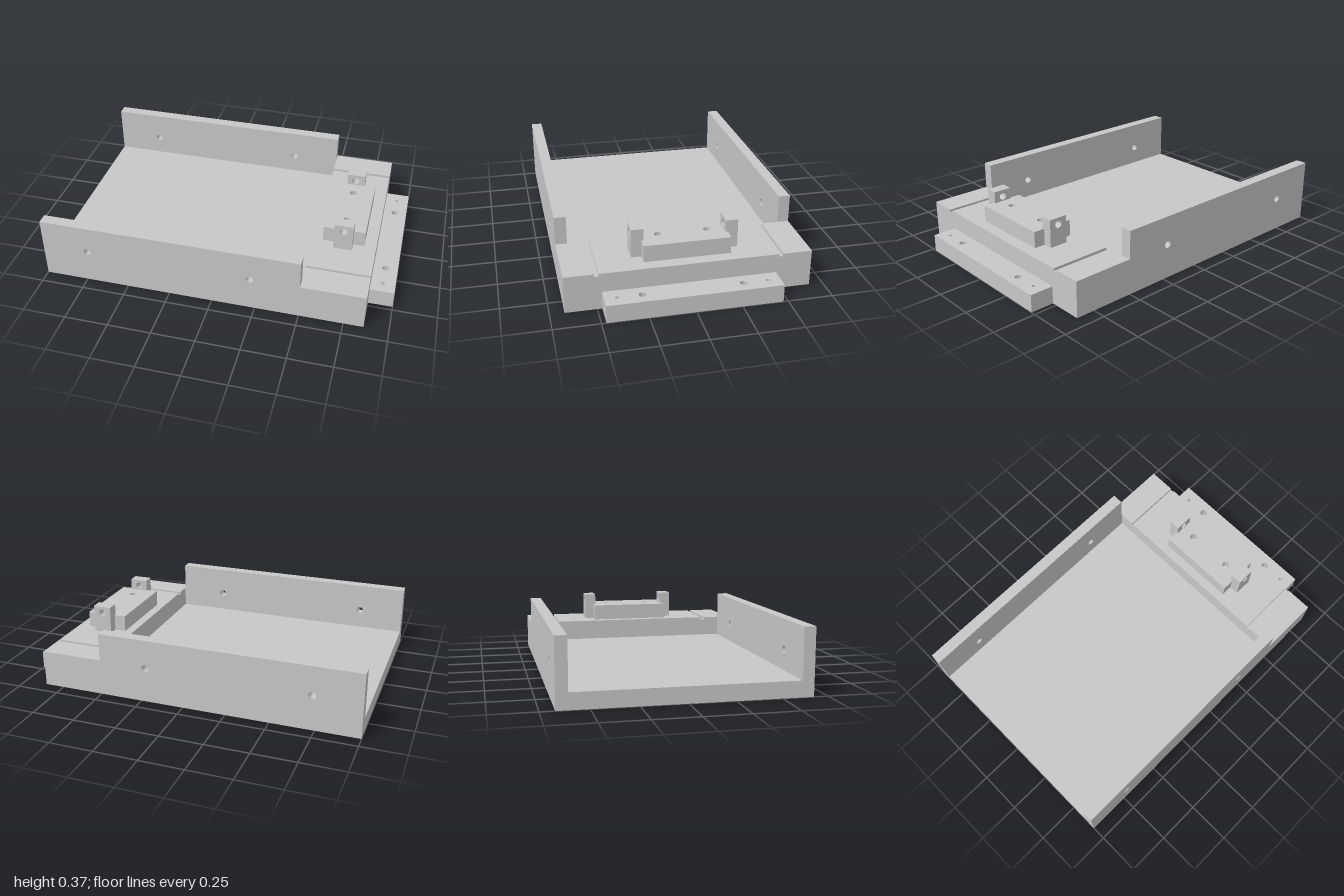
import * as THREE from 'three';
import { toCreasedNormals } from 'three/addons/utils/BufferGeometryUtils.js';

const HALF_Z = 0.672;   // half width of the tray
const INNER_Z = 0.607;  // inner face of the side walls
const BODY_X = 0.862;   // end of the main body
const POCKET = 0.05;    // depth of the foot pockets
const FLOOR = 0.09;     // top of the tray floor
const DECK = 0.21;      // top of the raised end
const TOP = 0.372;      // top of walls and lugs

// Extrude an outline with round holes, given as [x, y, radius]
function extrude(points, depth, holes = []) {
  const shape = new THREE.Shape(points.map(([x, y]) => new THREE.Vector2(x, y)));
  for (const [x, y, r] of holes) {
    shape.holes.push(new THREE.Path().absarc(x, y, r, 0, Math.PI * 2, true));
  }
  const geo = new THREE.ExtrudeGeometry(shape, { depth, bevelEnabled: false, curveSegments: 24 });
  return toCreasedNormals(geo, 0.6);
}

const rect = (x0, x1, y0, y1) => [[x0, y0], [x1, y0], [x1, y1], [x0, y1]];

// Horizontal slab, symmetric in z, with vertical holes
function slab(x0, x1, halfZ, y0, y1, holes) {
  return extrude(rect(x0, x1, -halfZ, halfZ), y1 - y0, holes)
    .rotateX(-Math.PI / 2).translate(0, y0, 0);
}

// Hollow surface seen from its axis; profile runs from top to bottom
const hollow = (profile) =>
  new THREE.LatheGeometry(profile.map(([r, y]) => new THREE.Vector2(r, y)), 48);

export function createModel() {
  const model = new THREE.Group();
  const grey = new THREE.MeshStandardMaterial({ color: 0xc7c7c7 });
  grey.name = 'light grey';

  const add = (name, geo) => {
    const mesh = new THREE.Mesh(geo, grey);
    mesh.name = name;
    model.add(mesh);
  };

  // Conical bottoms of drilled blind holes
  const addDrillTips = (name, holes, y) => {
    for (const [x, z, r] of holes) {
      add(name, hollow([[r, y + r * 0.6], [0, y]]).translate(x, 0.001, z));
    }
  };

  // Underside with a domed pocket near each corner
  const pockets = [];
  for (const x of [-0.92, 0.78]) for (const z of [-0.59, 0.59]) pockets.push([x, z, 0.06]);
  add('basePlate', slab(-1, BODY_X, HALF_Z, 0, POCKET, pockets));
  add('trayFloor', slab(-1, 0.5, INNER_Z, POCKET, FLOOR));
  const dome = [];
  for (let i = 0; i <= 10; i++) {
    const a = (i / 10) * Math.PI / 2;
    dome.push([0.06 * Math.sin(a), (POCKET - 0.001) * Math.cos(a)]);
  }
  for (const [x, z] of pockets) add('footPocket', hollow(dome).translate(x, 0, z));

  // Stepped side walls with two cross holes each
  const wallOutline = [
    [-1, POCKET], [BODY_X, POCKET], [BODY_X, DECK], [0.5, DECK], [0.5, TOP], [-1, TOP],
  ];
  const wallHoles = [[-0.73, 0.204, 0.021], [0.22, 0.204, 0.021]];
  for (const [name, z] of [['frontWall', INNER_Z], ['backWall', -HALF_Z]]) {
    add(name, extrude(wallOutline, HALF_Z - INNER_Z, wallHoles).translate(0, 0, z));
  }

  // Raised end with two narrow grooves running along x
  const groove = 0.195;
  const deckOutline = [
    [-INNER_Z, POCKET], [INNER_Z, POCKET], [INNER_Z, DECK],
    [0.511, DECK], [0.511, groove], [0.487, groove], [0.487, DECK],
    [-0.487, DECK], [-0.487, groove], [-0.511, groove], [-0.511, DECK], [-INNER_Z, DECK],
  ];
  add('raisedEnd', extrude(deckOutline, BODY_X - 0.5).rotateY(Math.PI / 2).translate(0.5, 0, 0));

  // Mounting block with two blind holes
  const blockHoles = [[0.673, 0.136, 0.021], [0.673, -0.136, 0.021]];
  add('mountingBlockBase', slab(0.552, 0.793, 0.238, DECK, 0.23));
  add('mountingBlock', slab(0.552, 0.793, 0.238, 0.23, 0.305, blockHoles));
  addDrillTips('mountingHoleTip', blockHoles, 0.23);

  // Drilled lugs at both ends of the block
  for (const [name, z] of [['frontLug', 0.226], ['backLug', -0.293]]) {
    add(name, extrude(rect(0.62, 0.728, DECK, TOP), 0.067, [[0.673, 0.333, 0.021]])
      .translate(0, 0, z));
  }

  // Low end ledge with four blind holes
  const ledgeHoles = [];
  for (const s of [-1, 1]) ledgeHoles.push([0.932, s * 0.272, 0.021], [0.932, s * 0.405, 0.011]);
  add('endLedgeBase', slab(BODY_X, 1, 0.474, 0, 0.02));
  add('endLedge', slab(BODY_X, 1, 0.474, 0.02, 0.101, ledgeHoles));
  addDrillTips('ledgeHoleTip', ledgeHoles, 0.02);

  return model;
}
